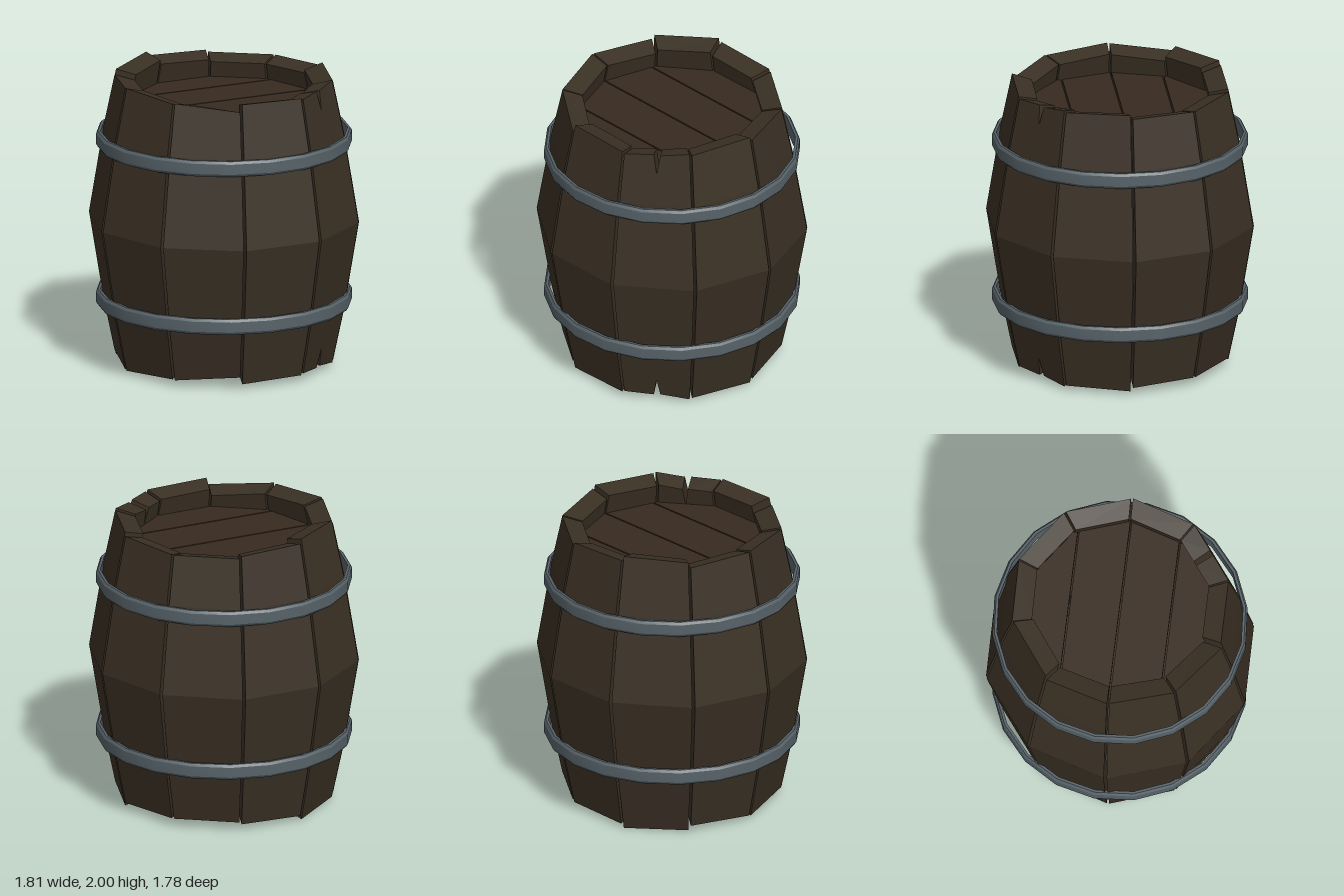
import * as THREE from 'three';
import { mergeGeometries, toCreasedNormals } from 'three/addons/utils/BufferGeometryUtils.js';

const STAVES = 10;
const STEP = (Math.PI * 2) / STAVES;
const START = THREE.MathUtils.degToRad(-5.5);
const GAP = 0.011;
const THICK = 0.135;

// Worn height of each stave at its two edges; the lower end mirrors the upper.
const TOPS = [
  [1.975, 1.965], [1.975, 1.945], [1.955, 1.965], [1.915, 1.955], [1.95, 1.975],
  [1.97, 1.95], [1.985, 2.0], [1.97, 1.955], [1.94, 1.94], [1.94, 1.95],
];
const CRACKED = 1;

// Barrel radius at a height above or below the middle
function bulge(d) {
  return d < 0.6 ? 0.91 - d * 0.165 : 0.811 - (d - 0.6) * 0.21;
}

// Closed flat-shaded solid; each row is { s: side, d: [d0, d1], t: [t0, t1] }
// with d the distance from mid height and t the fraction across the stave.
function staveSolid(a0, a1, rows) {
  const pos = [];
  const index = [];
  const corner = (row, e, inner) => {
    const d = row.d[e];
    const t = row.t[e];
    const r = bulge(d) - (inner ? THICK : 0);
    const x = r * THREE.MathUtils.lerp(Math.cos(a0), Math.cos(a1), t);
    const z = r * THREE.MathUtils.lerp(Math.sin(a0), Math.sin(a1), t);
    pos.push(x, 1 + row.s * d * (inner ? 0.965 : 1), z);
  };
  rows.forEach((row, j) => {
    corner(row, 1, false);
    corner(row, 0, false);
    corner(row, 0, true);
    corner(row, 1, true);
    if (j === 0) return;
    for (let k = 0; k < 4; k++) {
      const a = (j - 1) * 4 + k;
      const b = (j - 1) * 4 + ((k + 1) % 4);
      index.push(a, b, b + 4, a, b + 4, a + 4);
    }
  });
  const n = (rows.length - 1) * 4;
  index.push(n, n + 1, n + 2, n, n + 2, n + 3, 0, 2, 1, 0, 3, 2);
  const geo = new THREE.BufferGeometry();
  geo.setAttribute('position', new THREE.Float32BufferAttribute(pos, 3));
  geo.setIndex(index);
  const flat = geo.toNonIndexed();
  flat.computeVertexNormals();
  return flat;
}

// Rows of one stave piece from fraction t0 to t1; n0 and n1 pull the ends in for a crack
function staveRows(h0, h1, t0, t1, n0 = 0, n1 = 0) {
  const end = (s) => ({ s, d: [h0 - 1, h1 - 1], t: [t0 + n0, t1 - n1] });
  const ring = (s, d) => ({ s, d: [d, d], t: [t0, t1] });
  const rows = [end(-1), ring(-1, 0.6), ring(1, 0), ring(1, 0.6), end(1)];
  if (n0 || n1) {
    rows.splice(1, 0, ring(-1, 0.82));
    rows.splice(5, 0, ring(1, 0.82));
  }
  return rows;
}

function staveGeometry(i) {
  const a0 = START + i * STEP + GAP;
  const a1 = START + (i + 1) * STEP - GAP;
  const [h0, h1] = TOPS[i];
  if (i !== CRACKED) return staveSolid(a0, a1, staveRows(h0, h1, 0, 1));
  // V-shaped cracks at both ends, made by two pieces that part near the tips
  return mergeGeometries([
    staveSolid(a0, a1, staveRows(h0, 1.95, 0, 0.5, 0, 0.05)),
    staveSolid(a0, a1, staveRows(1.955, h1, 0.5, 1, 0.05, 0)),
  ]);
}

// One board of a barrel head, cut from a disc between v0 and v1
function boardGeometry(v0, v1) {
  const R = 0.64;
  const right = [];
  const left = [];
  for (let k = 0; k <= 5; k++) {
    const v = THREE.MathUtils.lerp(v0, v1, k / 5);
    const w = Math.sqrt(Math.max(R * R - v * v, 0.0001));
    right.push(new THREE.Vector2(w, v));
    left.unshift(new THREE.Vector2(-w, v));
  }
  const shape = new THREE.Shape([...right, ...left]);
  const geo = new THREE.ExtrudeGeometry(shape, { depth: 0.05, bevelEnabled: false });
  return geo.rotateX(-Math.PI / 2);
}

export function createModel() {
  const wood = new THREE.MeshStandardMaterial({ color: 0x3a3024 });
  wood.name = 'dark wood';
  const headWood = new THREE.MeshStandardMaterial({ color: 0x382b20 });
  headWood.name = 'head wood';
  const metal = new THREE.MeshStandardMaterial({ color: 0x566268 });
  metal.name = 'grey metal';

  const model = new THREE.Group();
  model.name = 'barrel';
  const add = (parent, geo, mat, name) => {
    const mesh = new THREE.Mesh(geo, mat);
    mesh.name = name;
    parent.add(mesh);
    return mesh;
  };

  // Staves
  const staves = new THREE.Group();
  staves.name = 'staves';
  model.add(staves);
  for (let i = 0; i < STAVES; i++) add(staves, staveGeometry(i), wood, 'stave');

  // Boarded heads, recessed at both ends
  const cuts = [-0.62, -0.34, 0, 0.34, 0.62];
  for (const [name, y] of [['topHead', 1.75], ['bottomHead', 0.2]]) {
    const head = new THREE.Group();
    head.name = name;
    head.position.y = y;
    head.rotation.y = THREE.MathUtils.degToRad(5);
    model.add(head);
    for (let k = 0; k < 4; k++) {
      add(head, boardGeometry(cuts[k] + 0.005, cuts[k + 1] - 0.005), headWood, 'headBoard');
    }
  }

  // Metal hoops with softened outer edges
  const profile = [
    [0.825, -0.053], [0.843, -0.053], [0.855, -0.035], [0.855, 0.035],
    [0.843, 0.053], [0.825, 0.053], [0.825, -0.053],
  ].map(([r, y]) => new THREE.Vector2(r, y));
  const hoopGeo = toCreasedNormals(new THREE.LatheGeometry(profile, 20), 0.5);
  for (const [name, y] of [['upperHoop', 1.55], ['lowerHoop', 0.46]]) {
    add(model, hoopGeo, metal, name).position.y = y;
  }

  return model;
}
